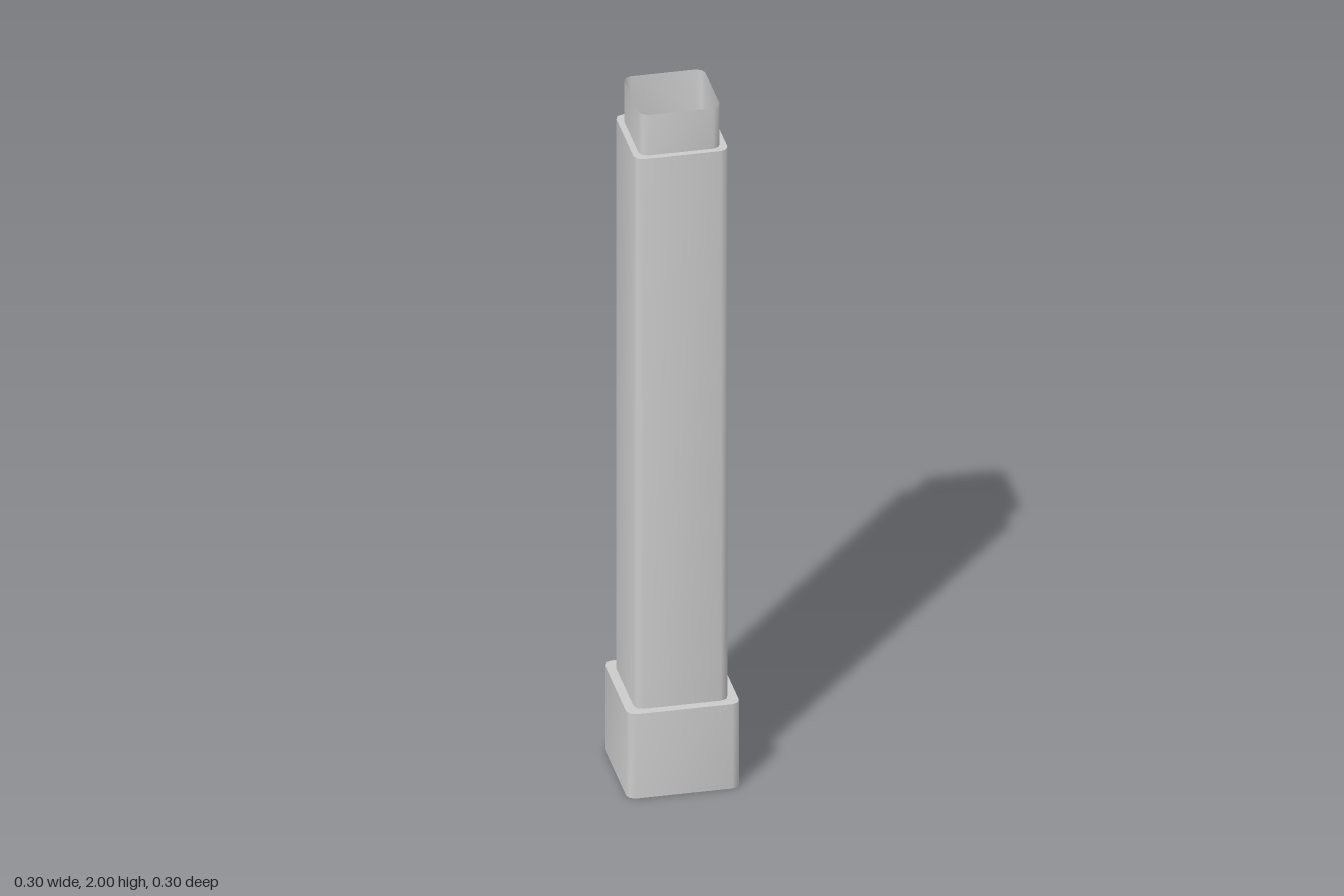
import * as THREE from 'three';
import { toCreasedNormals } from 'three/addons/utils/BufferGeometryUtils.js';

const CORNER = 0.022; // corner radius
const STEPS = 2; // segments per corner

// Rounded square ring of the given half width at height y, counterclockwise from above
function ring(half, y) {
  const points = [];
  const c = half - CORNER;
  for (let k = 0; k < 4; k++) {
    const mid = Math.PI / 4 + k * Math.PI / 2;
    const cx = Math.sign(Math.cos(mid)) * c;
    const cz = -Math.sign(Math.sin(mid)) * c;
    for (let s = 0; s <= STEPS; s++) {
      const a = (k + s / STEPS) * Math.PI / 2;
      points.push([cx + CORNER * Math.cos(a), y, cz - CORNER * Math.sin(a)]);
    }
  }
  return points;
}

// Strip of surface joining two rings
function band(name, material, [half0, y0], [half1, y1]) {
  const lower = ring(half0, y0);
  const upper = ring(half1, y1);
  const n = lower.length;
  const positions = [];
  for (let i = 0; i < n; i++) {
    const j = (i + 1) % n;
    positions.push(...lower[i], ...lower[j], ...upper[j]);
    positions.push(...lower[i], ...upper[j], ...upper[i]);
  }
  const geometry = new THREE.BufferGeometry();
  geometry.setAttribute('position', new THREE.Float32BufferAttribute(positions, 3));
  const mesh = new THREE.Mesh(toCreasedNormals(geometry, 1), material);
  mesh.name = name;
  return mesh;
}

export function createModel() {
  const group = new THREE.Group();
  group.name = 'squareDownpipe';
  const material = new THREE.MeshStandardMaterial({ color: 0xcccccc, side: THREE.DoubleSide });

  // Profile as [half width, height], from the open foot to the open top
  const profile = [
    [0.15, 0], [0.15, 0.25],
    [0.125, 0.25], [0.125, 1.88],
    [0.108, 1.88], [0.108, 2],
  ];
  const names = ['baseSocket', 'baseLedge', 'shaft', 'shaftLedge', 'topSpigot'];
  names.forEach((name, i) => group.add(band(name, material, profile[i], profile[i + 1])));

  return group;
}
